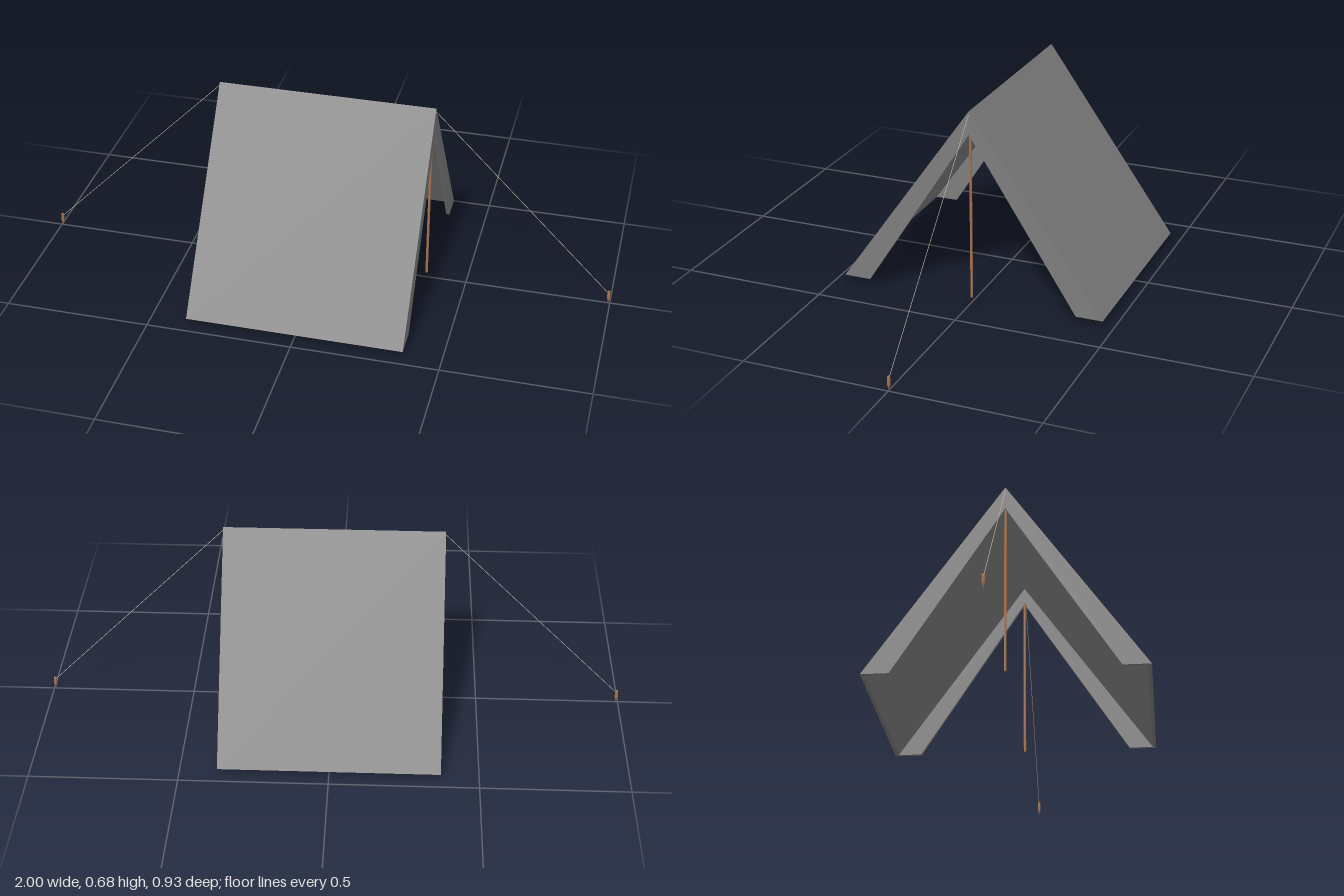
import * as THREE from 'three';

const HALF = 0.372;   // half length of the ridge
const RIDGE = 0.682;  // height of the ridge
const HEM = 0.023;    // height of the lower edge
const FOOT = 0.465;   // half width at the lower edge

const canvas = new THREE.MeshStandardMaterial({ color: 0x7d7d7d, side: THREE.DoubleSide, flatShading: true });
const wood = new THREE.MeshStandardMaterial({ color: 0xa87350 });
const pegWood = new THREE.MeshStandardMaterial({ color: 0xa87350, flatShading: true });
const cord = new THREE.MeshStandardMaterial({ color: 0xc8bca8 });

function add(group, name, geometry, material) {
  const mesh = new THREE.Mesh(geometry, material);
  mesh.name = name;
  group.add(mesh);
  return mesh;
}

// Upside-down V band between the roof line and an inner line, extruded along x
function chevron(innerFoot, innerTop, length) {
  const shape = new THREE.Shape([
    [-FOOT, HEM], [-innerFoot, HEM], [0, innerTop], [innerFoot, HEM], [FOOT, HEM], [0, RIDGE],
  ].map(([z, y]) => new THREE.Vector2(z, y)));
  const geometry = new THREE.ExtrudeGeometry(shape, { depth: length, bevelEnabled: false });
  geometry.translate(0, 0, -length / 2);
  geometry.rotateY(Math.PI / 2);
  return geometry;
}

export function createModel() {
  const tent = new THREE.Group();
  tent.name = 'tent';

  // Thin roof cloth, both slopes
  add(tent, 'roofCloth', chevron(FOOT - 0.012, RIDGE - 0.017, HALF * 2), canvas);

  for (const side of [1, -1]) {
    const label = side > 0 ? 'left' : 'right';

    // Narrow door flaps closing the edge of each end
    add(tent, label + 'DoorFlaps', chevron(0.372, 0.602, 0.012), canvas)
      .position.x = side * (HALF - 0.006);

    // Upright pole
    add(tent, label + 'Pole', new THREE.CylinderGeometry(0.0045, 0.0045, 0.585, 10), wood)
      .position.set(side * 0.36, 0.3125, 0);

    // Guy rope from the ridge to the peg
    const rope = new THREE.LineCurve3(
      new THREE.Vector3(side * (HALF - 0.004), RIDGE - 0.008, 0),
      new THREE.Vector3(side * 0.99, 0.042, 0));
    add(tent, label + 'Rope', new THREE.TubeGeometry(rope, 1, 0.001, 6), cord);

    // Pointed ground peg
    const profile = [[0, 0], [0.0058, 0.02], [0.0058, 0.036], [0.0045, 0.048], [0, 0.048]]
      .map(([r, y]) => new THREE.Vector2(r, y));
    add(tent, label + 'Peg', new THREE.LatheGeometry(profile, 8), pegWood)
      .position.x = side * 0.994;
  }
  return tent;
}
